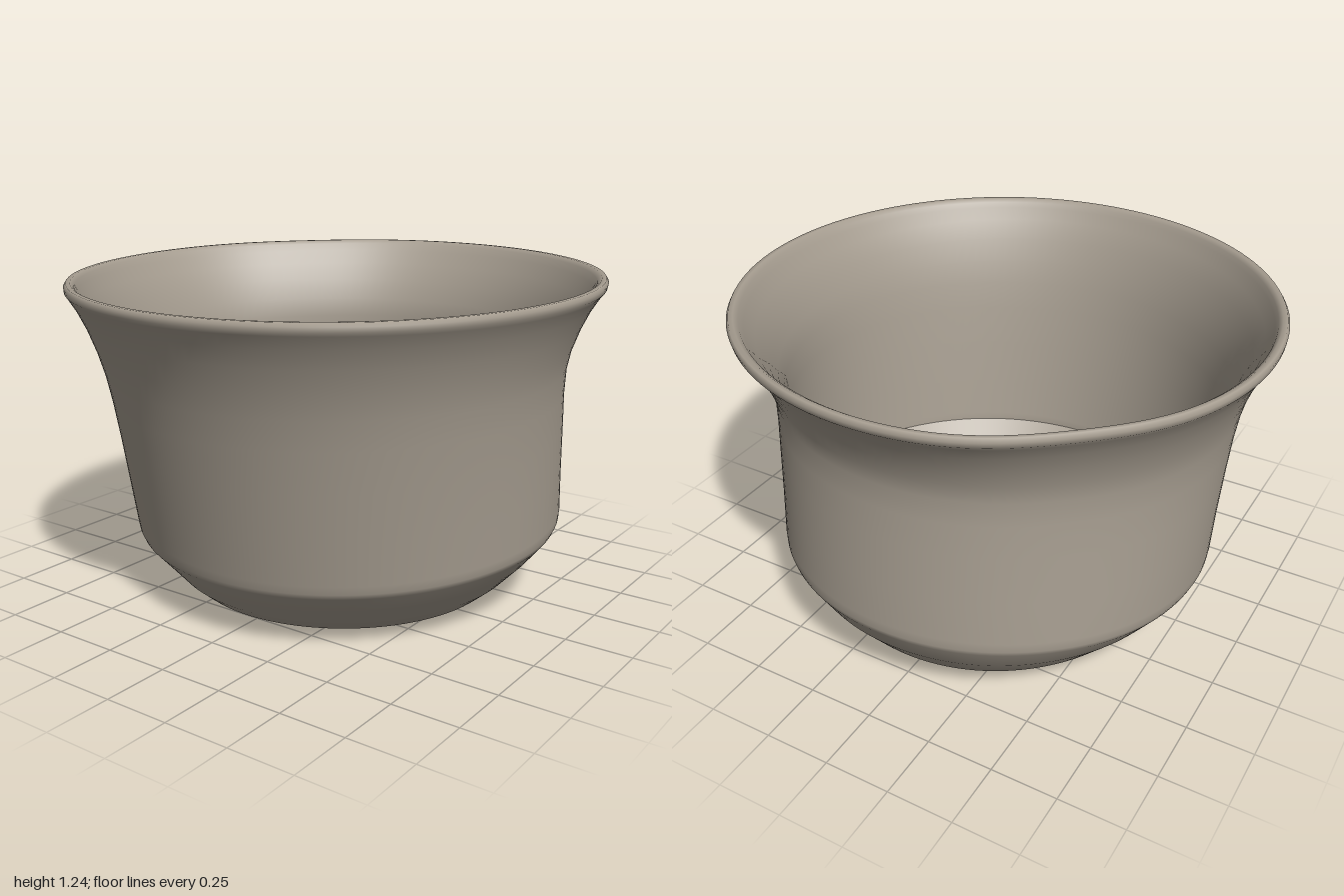
import * as THREE from 'three';

const SEGMENTS = 128;

// Outer cross-sections, foot to lip: [left y, left x, right y, right x, half depth].
// "Left" is the -x side here; the bowl leans and tilts between the two sides.
const OUTER = [
  [0.00, -0.45, 0.00, 0.58, 0.51],
  [0.008, -0.50, 0.01, 0.63, 0.56],
  [0.03, -0.55, 0.03, 0.68, 0.605],
  [0.08, -0.61, 0.09, 0.755, 0.67],
  [0.15, -0.67, 0.20, 0.84, 0.755],
  [0.215, -0.728, 0.305, 0.898, 0.825],
  [0.235, -0.736, 0.325, 0.903, 0.834],
  [0.265, -0.741, 0.36, 0.902, 0.838],
  [0.42, -0.77, 0.52, 0.888, 0.843],
  [0.60, -0.805, 0.70, 0.870, 0.852],
  [0.76, -0.840, 0.82, 0.859, 0.860],
  [0.87, -0.866, 0.91, 0.854, 0.872],
  [0.96, -0.894, 0.98, 0.868, 0.890],
  [1.05, -0.928, 1.06, 0.900, 0.920],
  [1.12, -0.962, 1.13, 0.938, 0.952],
  [1.165, -0.990, 1.185, 0.975, 0.982],
];

// Rolled lip
const LIP = [
  [1.178, -0.999, 1.205, 0.995, 0.995],
  [1.195, -1.000, 1.225, 1.000, 0.998],
  [1.207, -0.992, 1.239, 0.992, 0.990],
  [1.207, -0.976, 1.239, 0.976, 0.973],
  [1.195, -0.962, 1.225, 0.958, 0.958],
];

// Inner wall: the outer sections set in by the wall thickness
function innerRows() {
  return OUTER.map(([yl, xl, yr, xr, rz], i) => {
    const inset = i < 6 ? 0.022 : 0.034;
    const lift = i < 6 ? 0.035 : 0.01;
    return [yl + lift, xl + inset, yr + lift, xr - inset, rz - inset];
  }).reverse();
}

// Gentle hand-made unevenness of the wall, with a flatter back-right shoulder
function wobble(a, y) {
  const height = Math.min(1, y / 1.2);
  const shoulder = Math.exp(-(((a - 5.55) / 0.3) ** 2));
  return 1 - 0.025 * shoulder * height
    + 0.003 * Math.sin(3 * a + 4 * y) * Math.sin(2 * a) * Math.sin(5 * y);
}

// Skin the cross-sections into one continuous shell
function shellGeometry(rows) {
  const positions = [], indices = [];
  rows.forEach(([yl, xl, yr, xr, rz], r) => {
    for (let s = 0; s < SEGMENTS; s++) {
      const a = (s / SEGMENTS) * Math.PI * 2;
      const c = Math.cos(a);
      const y = (yl + yr) / 2 + ((yr - yl) / 2) * c;
      const k = wobble(a, y);
      positions.push((xl + xr) / 2 + ((xr - xl) / 2) * c * k, y, rz * Math.sin(a) * k);
      if (r === rows.length - 1) continue;
      const n = (s + 1) % SEGMENTS;
      const p = r * SEGMENTS + s, q = r * SEGMENTS + n;
      indices.push(p, p + SEGMENTS, q, q, p + SEGMENTS, q + SEGMENTS);
    }
  });
  const geometry = new THREE.BufferGeometry();
  geometry.setAttribute('position', new THREE.Float32BufferAttribute(positions, 3));
  geometry.setIndex(indices);
  geometry.computeVertexNormals();
  return geometry;
}

// Flat round base; facing is 1 for up, -1 for down
function disc([y, xl, , xr, rz], facing) {
  const geometry = new THREE.CircleGeometry(1, SEGMENTS);
  geometry.rotateX(-facing * Math.PI / 2);
  geometry.scale((xr - xl) / 2, 1, rz);
  geometry.translate((xl + xr) / 2, y, 0);
  return geometry;
}

export function createModel() {
  const group = new THREE.Group();
  group.name = 'bowl';
  const clay = new THREE.MeshStandardMaterial({ color: 0xa69d90 });
  clay.name = 'clay';

  const inner = innerRows();
  const add = (name, geometry) => {
    const mesh = new THREE.Mesh(geometry, clay);
    mesh.name = name;
    group.add(mesh);
  };

  add('wall', shellGeometry([...OUTER, ...LIP, ...inner]));
  add('foot', disc(OUTER[0], -1));
  add('floor', disc(inner[inner.length - 1], 1));
  return group;
}
